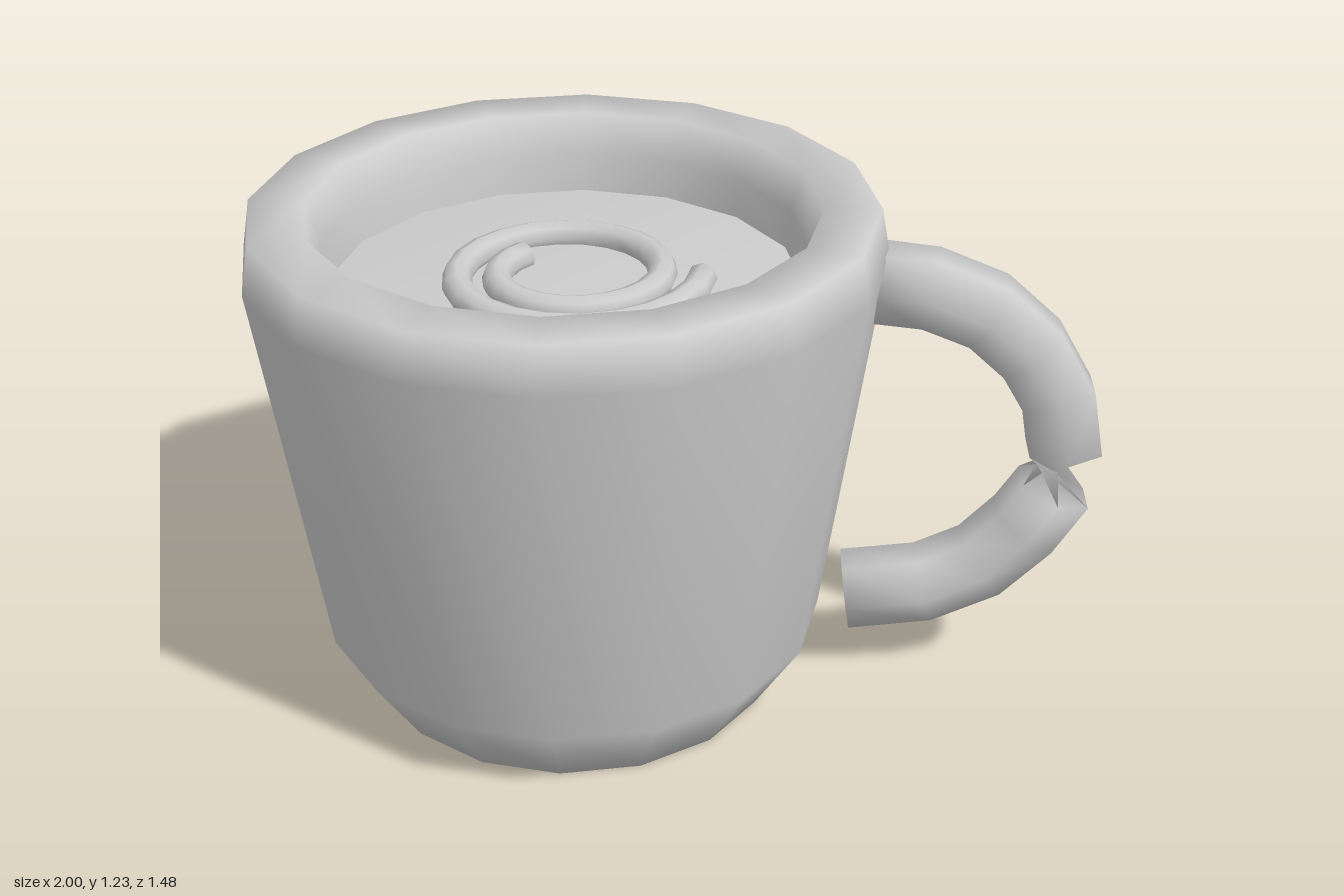
import * as THREE from 'three';

const ceramic = new THREE.MeshStandardMaterial({ color: 0xcccccc, side: THREE.DoubleSide });
ceramic.name = 'light grey';

const CENTRE_X = -0.26;

// Smooth 16-sided turned shape from [radius, height] pairs
function turned(name, profile) {
  const points = profile.map(([r, y]) => new THREE.Vector2(r, y));
  const mesh = new THREE.Mesh(new THREE.LatheGeometry(points, 16), ceramic);
  mesh.name = name;
  mesh.position.x = CENTRE_X;
  return mesh;
}

// Capped tube along a flat path; rings from index twistAt onward are half a turn round
function sweep(name, path, side, radius, sides, twistAt = Infinity) {
  const positions = [];
  const index = [];
  const last = path.length - 1;
  path.forEach((p, i) => {
    const tangent = path[Math.min(i + 1, last)].clone().sub(path[Math.max(i - 1, 0)]).normalize();
    const normal = side.clone().cross(tangent);
    for (let j = 0; j < sides; j++) {
      const a = (j / sides) * Math.PI * 2 + (i >= twistAt ? Math.PI : 0);
      const v = p.clone()
        .addScaledVector(side, Math.cos(a) * radius)
        .addScaledVector(normal, Math.sin(a) * radius);
      positions.push(v.x, v.y, v.z);
    }
  });
  for (let i = 0; i < last; i++) {
    for (let j = 0; j < sides; j++) {
      const k = (j + 1) % sides;
      const a = i * sides + j, b = i * sides + k;
      const c = a + sides, d = b + sides;
      index.push(a, c, b, b, c, d);
    }
  }
  // End caps
  const start = path.length * sides;
  positions.push(...path[0].toArray(), ...path[last].toArray());
  for (let j = 0; j < sides; j++) {
    const k = (j + 1) % sides;
    index.push(start, j, k, start + 1, last * sides + k, last * sides + j);
  }
  const geometry = new THREE.BufferGeometry();
  geometry.setAttribute('position', new THREE.Float32BufferAttribute(positions, 3));
  geometry.setIndex(index);
  geometry.computeVertexNormals();
  const mesh = new THREE.Mesh(geometry, ceramic);
  mesh.name = name;
  return mesh;
}

export function createModel() {
  const mug = new THREE.Group();
  mug.name = 'mug';

  // Tapered cup with bevelled foot, thick rim and inner wall
  mug.add(turned('cup', [
    [0, 0], [0.49, 0], [0.605, 0.18], [0.74, 1.12], [0.72, 1.23],
    [0.59, 1.23], [0.56, 1.13], [0.545, 1.03], [0.45, 0.25], [0, 0.25],
  ]));

  // Drink filling the cup, softly shaded towards its edge
  mug.add(turned('drink', [[0.55, 0.98], [0.55, 1.04], [0, 1.04]]));

  // Spiral lying on the drink
  const spiral = [];
  const steps = 36;
  for (let i = 0; i <= steps; i++) {
    const t = i / steps;
    const angle = t * THREE.MathUtils.degToRad(582);
    const r = 0.305 - 0.15 * t;
    spiral.push(new THREE.Vector3(-0.25 + r * Math.cos(angle), 1.055, r * Math.sin(angle)));
  }
  mug.add(sweep('swirl', spiral, new THREE.Vector3(0, 1, 0), 0.035, 8));

  // Hexagonal handle pinched by a half twist in its middle
  const handlePath = [
    [0.45, 1.05], [0.58, 1.035], [0.715, 0.98], [0.82, 0.885], [0.89, 0.765], [0.915, 0.625],
    [0.9, 0.515], [0.835, 0.41], [0.735, 0.305], [0.6, 0.24], [0.41, 0.215],
  ].map(([x, y]) => new THREE.Vector3(x, y, 0));
  mug.add(sweep('handle', handlePath, new THREE.Vector3(0, 0, 1), 0.098, 6, 6));

  return mug;
}
